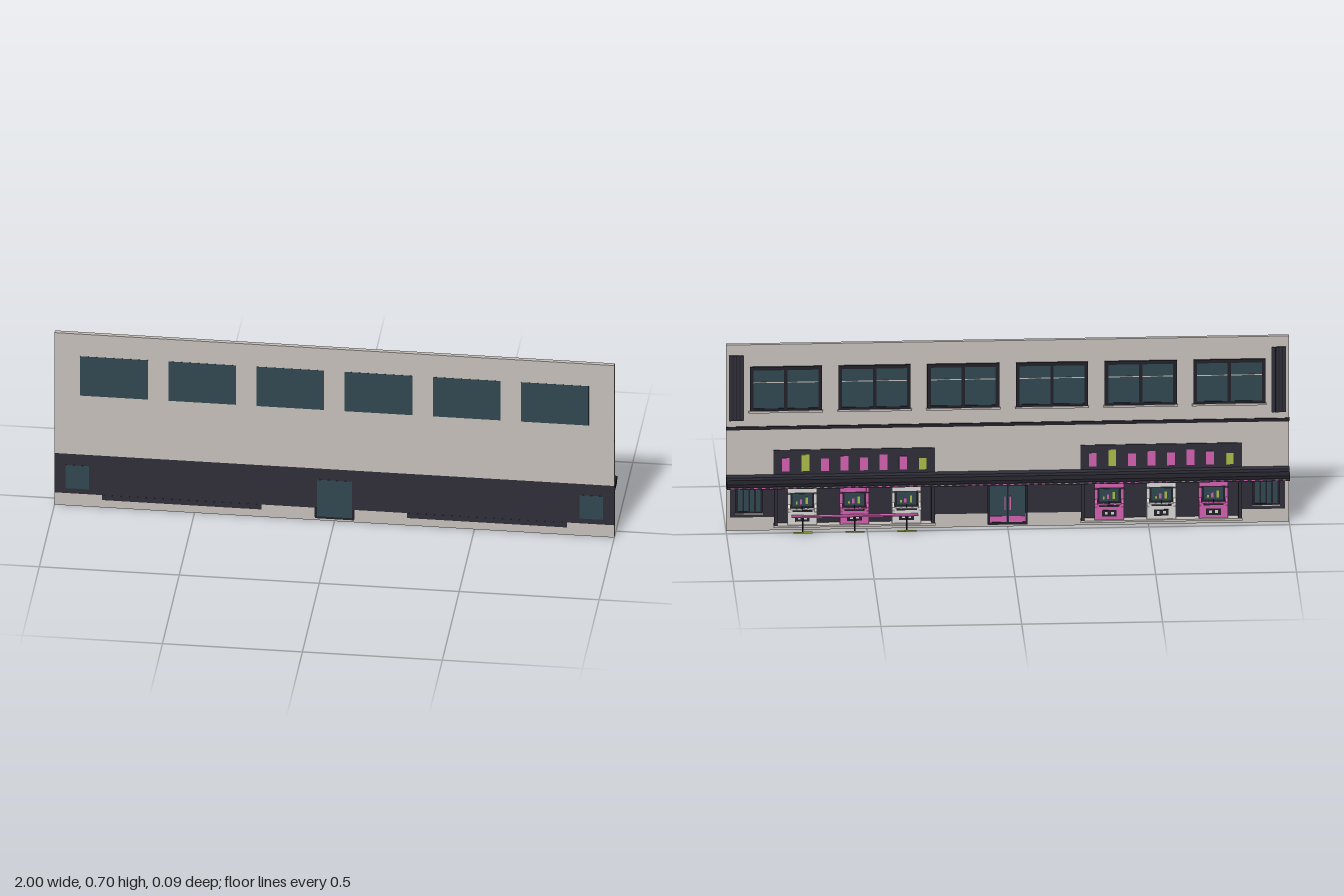
import * as THREE from 'three';

const mat = (name, color) => {
  const m = new THREE.MeshStandardMaterial({ color });
  m.name = name;
  return m;
};

export function createModel() {
  const stone = mat('warm grey stone', 0xc4beb9);
  const dark = mat('dark slate', 0x2f2e39);
  const black = mat('charcoal trim', 0x222129);
  const glass = mat('teal glass', 0x30464f);
  const pink = mat('pink', 0xcf5fae);
  const lime = mat('lime', 0xa9b848);
  const white = mat('off white', 0xd6d4d2);

  const model = new THREE.Group();
  model.name = 'arcadeFacade';
  const group = (name, x = 0, y = 0, z = 0, parent = model) => {
    const g = new THREE.Group();
    g.name = name;
    g.position.set(x, y, z);
    parent.add(g);
    return g;
  };
  // Box given by its limits on each axis
  const box = (parent, name, m, x0, x1, y0, y1, z0, z1) => {
    const mesh = new THREE.Mesh(new THREE.BoxGeometry(x1 - x0, y1 - y0, z1 - z0), m);
    mesh.position.set((x0 + x1) / 2, (y0 + y1) / 2, (z0 + z1) / 2);
    mesh.name = name;
    parent.add(mesh);
    return mesh;
  };
  // Rectangular frame of four bars
  const frame = (parent, name, m, x0, x1, y0, y1, z0, z1, t) => {
    box(parent, name, m, x0, x0 + t, y0, y1, z0, z1);
    box(parent, name, m, x1 - t, x1, y0, y1, z0, z1);
    box(parent, name, m, x0 + t, x1 - t, y1 - t, y1, z0, z1);
    box(parent, name, m, x0 + t, x1 - t, y0, y0 + t, z0, z1);
  };

  // Wall: stone above, dark ground floor, stone plinth
  const wall = group('wall');
  box(wall, 'upperWall', stone, -1, 1, 0.21, 0.7, 0.031, 0.047);
  box(wall, 'plinth', stone, -1, 1, 0, 0.05, 0.031, 0.047);
  box(wall, 'groundFloorOuter', dark, -1, 1, 0.05, 0.21, 0.039, 0.047);
  box(wall, 'groundFloorInner', dark, -0.985, 0.985, 0.05, 0.2, 0.031, 0.039);
  box(wall, 'floorBand', black, -1.0, 1.0, 0.38, 0.392, 0.027, 0.039);
  for (const s of [-1, 1]) {
    box(wall, 'endTrim', stone, s < 0 ? -1 : 0.985, s < 0 ? -0.985 : 1, 0.05, 0.2, 0.031, 0.039);
    box(wall, 'bandEnd', black, s < 0 ? -1.0005 : 0.9995, s < 0 ? -0.9995 : 1.0005, 0.38, 0.392, 0.031, 0.039);
    // Ribbed panel at the end of the upper floor
    const ribs = group('ribbedPanel', s * 0.963, 0, 0);
    box(ribs, 'panelBack', black, -0.026, 0.026, 0.415, 0.66, 0.029, 0.031);
    for (let i = 0; i < 4; i++) {
      const x = -0.0195 + i * 0.013;
      box(ribs, 'rib', dark, x - 0.0045, x + 0.0045, 0.415, 0.66, 0.0255, 0.029);
    }
  }

  // Upper windows
  for (let i = 0; i < 6; i++) {
    const w = group('upperWindow', -0.7875 + i * 0.315);
    box(w, 'pane', glass, -0.121, 0.121, 0.45, 0.61, 0.0285, 0.0475);
    frame(w, 'windowFrame', black, -0.128, 0.128, 0.447, 0.617, 0.0255, 0.031, 0.013);
    box(w, 'mullion', black, -0.006, 0.006, 0.46, 0.604, 0.026, 0.0285);
    for (const s of [-1, 1]) {
      box(w, 'transom', stone, s < 0 ? -0.115 : 0.006, s < 0 ? -0.006 : 0.115, 0.556, 0.559, 0.0275, 0.0285);
    }
    box(w, 'sill', stone, -0.132, 0.132, 0.444, 0.451, 0.022, 0.031);
  }

  // Canopy: ledge on the wall, roof plate and lower soffit with a gap between
  const canopy = group('canopy');
  box(canopy, 'ledge', dark, -1, 1, 0.198, 0.21, 0, 0.047);
  box(canopy, 'roofLip', black, -1, 1, 0.189, 0.2, -0.045, 0);
  box(canopy, 'soffit', dark, -1, 1, 0.178, 0.189, -0.037, 0.031);
  for (let i = 0; i < 72; i++) {
    const x = -0.98 + (i * 1.96) / 71;
    box(canopy, 'canopyLight', pink, x - 0.006, x + 0.006, 0.181, 0.184, -0.038, -0.037);
  }
  for (const x of [-0.93, -0.545, -0.2, 0.2, 0.545, 0.93]) {
    box(canopy, 'bracket', stone, x - 0.004, x + 0.004, 0.1765, 0.178, -0.034, -0.005);
  }

  // Display boards with coloured tiles above the canopy
  for (const s of [-1, 1]) {
    const board = group('displayBoard', s * 0.545, 0, 0);
    box(board, 'boardPanel', dark, -0.287, 0.287, 0.21, 0.302, 0.0275, 0.031);
    for (let i = 0; i < 8; i++) {
      const x = 0.243 - i * 0.0695;
      const m = i === 1 || i === 7 ? lime : pink;
      const top = [0.272, 0.284, 0.268, 0.276, 0.27, 0.28, 0.272, 0.264][i];
      box(board, 'tile', m, x - 0.014, x + 0.014, 0.222, top, 0.026, 0.0275);
    }
  }

  // One game cabinet, standing on y = 0 and facing -z
  const cabinet = (parent, x, m) => {
    const c = group('gameCabinet', x, 0.027, 0, parent);
    const side = new THREE.Shape([
      [0.031, 0], [0.006, 0], [0.006, 0.045], [0.002, 0.053], [0.003, 0.062],
      [0.016, 0.075], [0.016, 0.112], [0.008, 0.12], [0.01, 0.135], [0.031, 0.135],
    ].map(([z, y]) => new THREE.Vector2(-z, y)));
    for (const s of [-1, 1]) {
      const cheek = new THREE.Mesh(new THREE.ExtrudeGeometry(side, { depth: 0.01, bevelEnabled: false }), m);
      cheek.rotation.y = Math.PI / 2;
      cheek.position.x = s * 0.047 - 0.005;
      cheek.name = 'cabinetSide';
      c.add(cheek);
    }
    box(c, 'cabinetBase', m, -0.042, 0.042, 0, 0.048, 0.008, 0.031);
    box(c, 'controlDesk', m, -0.042, 0.042, 0.048, 0.058, 0.004, 0.031);
    box(c, 'screenSurround', black, -0.042, 0.042, 0.058, 0.118, 0.019, 0.031);
    box(c, 'screen', glass, -0.034, 0.034, 0.066, 0.113, 0.018, 0.019);
    box(c, 'topSign', m, -0.042, 0.042, 0.118, 0.134, 0.011, 0.031);
    box(c, 'screenBlock', lime, -0.02, -0.012, 0.074, 0.1, 0.017, 0.018);
    box(c, 'screenBlock', pink, 0.0, 0.008, 0.074, 0.092, 0.017, 0.018);
    box(c, 'screenBlock', lime, 0.016, 0.022, 0.074, 0.084, 0.017, 0.018);
    box(c, 'controlStrip', black, -0.036, 0.036, 0.05, 0.056, 0.003, 0.004);
    box(c, 'coinDoor', black, -0.026, 0.026, 0.012, 0.036, 0.007, 0.008);
    for (const s of [-1, 1]) {
      box(c, 'coinSlot', white, s * 0.011 - 0.005, s * 0.011 + 0.005, 0.02, 0.03, 0.006, 0.007);
      box(c, 'button', white, s * 0.02 - 0.003, s * 0.02 + 0.003, 0.058, 0.061, 0.007, 0.012);
    }
    box(c, 'joystick', black, -0.002, 0.002, 0.058, 0.068, 0.008, 0.012);
  };

  // Projecting bays with three cabinets each
  for (const s of [-1, 1]) {
    const bay = group('gameBay', s * 0.545);
    box(bay, 'bayFloor', stone, -0.287, 0.287, 0.02, 0.027, -0.002, 0.031);
    box(bay, 'bayBack', dark, -0.285, 0.285, 0.027, 0.178, 0.0295, 0.031);
    box(bay, 'bayOuterPanel', dark, -0.285, 0.285, 0.03, 0.05, 0.046, 0.0475);
    box(bay, 'bayHead', dark, -0.285, 0.285, 0.168, 0.178, 0, 0.031);
    for (const e of [-1, 1]) {
      box(bay, 'baySide', dark, e * 0.279 - 0.006, e * 0.279 + 0.006, 0.027, 0.178, 0, 0.031);
    }
    for (let i = -1; i <= 1; i++) {
      cabinet(bay, i * 0.185, (i === 0) === (s > 0) ? pink : white);
    }
  }

  // Bench rail on posts in front of one bay
  const bench = group('benchRail', 0.545);
  box(bench, 'benchTop', pink, -0.225, 0.225, 0.065, 0.07, -0.028, -0.01);
  for (let i = -1; i <= 1; i++) {
    const x = i * 0.185;
    const post = new THREE.Mesh(new THREE.CylinderGeometry(0.003, 0.003, 0.054, 10), black);
    post.position.set(x, 0.038, -0.02);
    post.name = 'benchPost';
    bench.add(post);
    box(bench, 'footPlate', lime, x - 0.034, x + 0.034, 0.011, 0.013, -0.039, -0.027);
  }

  // Double entrance door
  const door = group('entranceDoor');
  box(door, 'doorPane', glass, -0.062, 0.062, 0.016, 0.165, 0.0285, 0.0478);
  box(door, 'threshold', black, -0.07, 0.07, 0.008, 0.016, 0.027, 0.0478);
  frame(door, 'doorFrame', black, -0.071, 0.071, 0.01, 0.172, 0.025, 0.031, 0.008);
  box(door, 'doorMeeting', black, -0.003, 0.003, 0.018, 0.164, 0.0265, 0.0285);
  for (const s of [-1, 1]) {
    box(door, 'kickPlate', pink, s * 0.033 - 0.029, s * 0.033 + 0.029, 0.018, 0.04, 0.0265, 0.0285);
    box(door, 'doorHandle', pink, s * 0.009 - 0.002, s * 0.009 + 0.002, 0.065, 0.115, 0.0235, 0.0265);
    box(door, 'doorOuterJamb', black, s * 0.0665 - 0.0045, s * 0.0665 + 0.0045, 0.012, 0.05, 0.046, 0.0475);
  }

  // Small barred windows at both ends
  for (const s of [-1, 1]) {
    const w = group('endWindow', s * 0.918);
    box(w, 'endPane', glass, -0.042, 0.042, 0.07, 0.165, 0.0285, 0.0478);
    frame(w, 'endFrame', black, -0.048, 0.048, 0.065, 0.171, 0.0255, 0.031, 0.008);
    for (let i = -1; i <= 1; i++) {
      box(w, 'windowBar', black, i * 0.021 - 0.003, i * 0.021 + 0.003, 0.073, 0.163, 0.0265, 0.0285);
    }
    box(w, 'endSill', stone, -0.05, 0.05, 0.062, 0.067, 0.022, 0.031);
  }

  return model;
}
